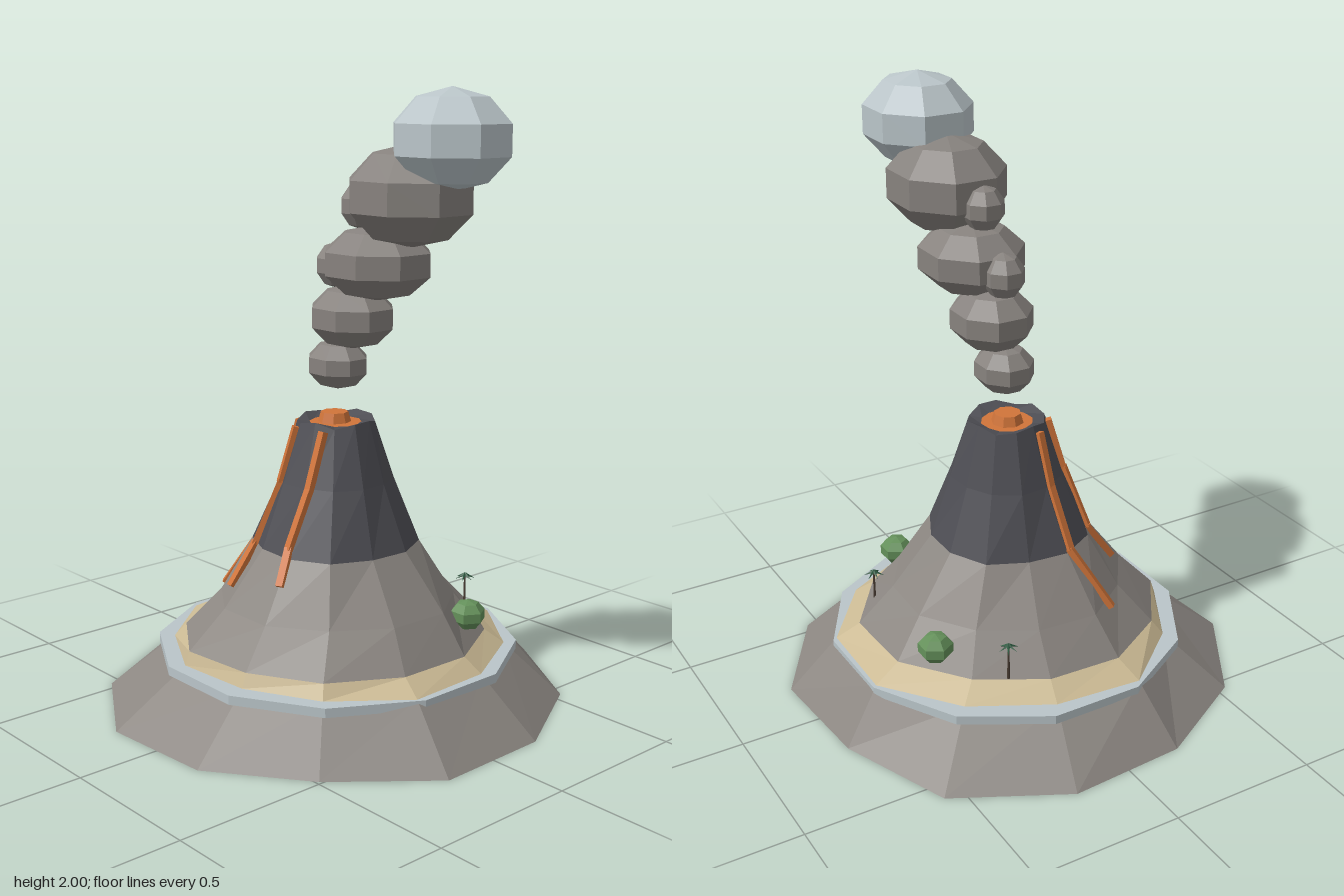
import * as THREE from 'three';

const paint = (name, color) => {
  const m = new THREE.MeshStandardMaterial({ color });
  m.name = name;
  return m;
};

export function createModel() {
  const model = new THREE.Group();
  model.name = 'volcanoIsland';
  const rock = paint('rock grey', 0x8c8782);
  const basalt = paint('dark basalt', 0x4e4e54);
  const sand = paint('sand', 0xcbba94);
  const foam = paint('pale foam', 0xbac5c9);
  const lava = paint('lava orange', 0xd0743a);
  const smoke = paint('smoke grey', 0x87827e);
  const steam = paint('pale smoke', 0xbac5c9);
  const leaf = paint('bush green', 0x64905a);
  const palm = paint('palm green', 0x2f5c42);
  const bark = paint('palm bark', 0x4a3d33);

  // Faceted normals, then a named mesh
  const add = (name, geometry, material, parent = model) => {
    const g = geometry.index ? geometry.toNonIndexed() : geometry;
    g.computeVertexNormals();
    const mesh = new THREE.Mesh(g, material);
    mesh.name = name;
    parent.add(mesh);
    return mesh;
  };

  // Mountain cross-sections: 12 points each, starting 15 degrees left of the front
  const N = 12;
  const wobble = [0.01, -0.012, 0.006, 0.008, -0.01, 0.004, 0.012, -0.008, 0.002, 0.01, -0.006, -0.004];
  const ring = (y, radii, cx = 0, cz = 0, shift = 0) => {
    const points = [];
    for (let i = 0; i < N; i++) {
      const a = (15 + 30 * i) * Math.PI / 180;
      const r = Array.isArray(radii) ? radii[i] : radii * (1 + 2.5 * wobble[(i + shift) % N]);
      points.push(new THREE.Vector3(cx + Math.sin(a) * r, y, cz + Math.cos(a) * r));
    }
    return points;
  };
  const rings = [
    ring(0, [0.737, 0.693, 0.762, 0.755, 0.764, 0.775, 0.742, 0.8, 0.78, 0.753, 0.757, 0.767]),
    ring(0.18, [0.51, 0.525, 0.57, 0.56, 0.57, 0.61, 0.615, 0.57, 0.56, 0.585, 0.535, 0.53]),
    ring(0.225, [0.49, 0.495, 0.495, 0.5, 0.505, 0.53, 0.52, 0.485, 0.485, 0.495, 0.495, 0.515]),
    ring(0.35, 0.397, 0.005, -0.01, 3),
    ring(0.53, 0.27, 0, -0.01, 5),
    ring(0.74, 0.187, 0, -0.015, 1),
    ring(0.94, 0.127, -0.005, -0.02, 7),
    ring(0.925, 0.085, -0.01, -0.02, 7),
  ];
  rings[6].forEach((p, i) => { p.y += wobble[i] * 0.8 - 0.005; });

  const skin = (from, to) => {
    const out = [];
    for (let k = from; k < to; k++) {
      for (let i = 0; i < N; i++) {
        const j = (i + 1) % N;
        const [a, b, c, d] = [rings[k][i], rings[k][j], rings[k + 1][j], rings[k + 1][i]];
        out.push(a, b, c, a, c, d);
      }
    }
    return new THREE.BufferGeometry().setFromPoints(out);
  };
  const cap = (points, up) => {
    const out = [];
    const y = points[0].y;
    points.forEach((p, i) => {
      const q = points[(i + 1) % N];
      out.push(new THREE.Vector3(0, y, 0), up ? p : q, up ? q : p);
    });
    return new THREE.BufferGeometry().setFromPoints(out);
  };
  add('lowerSlope', skin(0, 1), rock);
  add('underside', cap(rings[0], false), rock);
  add('beach', skin(1, 2), sand);
  add('middleSlope', skin(2, 4), rock);
  add('summit', skin(4, 7), basalt);
  add('lavaPool', cap(rings[7], true), lava);

  // Foam shelf around the beach
  const shelf = add('foamRing', new THREE.CylinderGeometry(0.602, 0.602, 0.03, N), foam);
  shelf.geometry.rotateY(Math.PI / 12);
  shelf.position.set(-0.01, 0.165, -0.025);

  // Lava plug in the crater
  const plug = add('lavaPlug', new THREE.CylinderGeometry(0.045, 0.055, 0.035, 8), lava);
  plug.position.set(-0.015, 0.94, -0.02);

  // Lava streams follow the slope, given as [degrees from front, height]
  const onSlope = ([deg, y]) => {
    const t = (((deg - 15) / 30) % N + N) % N;
    const i = Math.floor(t), j = (i + 1) % N;
    const k = rings.findIndex((r, n) => n < 6 && y < rings[n + 1][0].y);
    const f = (y - rings[k][0].y) / (rings[k + 1][0].y - rings[k][0].y);
    const at = (r) => r[i].clone().lerp(r[j], t - i);
    const p = at(rings[k]).lerp(at(rings[k + 1]), f);
    p.y = y;
    return p.add(new THREE.Vector3(p.x, 0, p.z).setLength(0.005));
  };
  const streams = [
    [[-67, 0.915], [-70, 0.74], [-72, 0.54], [-61, 0.335]],
    [[-22, 0.915], [-25, 0.74], [-31, 0.53], [-26, 0.4]],
    [[29, 0.915], [20, 0.74], [14, 0.56], [16, 0.46]],
  ];
  streams.forEach((path, s) => {
    const group = new THREE.Group();
    group.name = 'lavaStream' + (s + 1);
    model.add(group);
    const pts = path.map(onSlope);
    for (let i = 0; i + 1 < pts.length; i++) {
      const length = pts[i].distanceTo(pts[i + 1]) + 0.008;
      const seg = add('streamSegment', new THREE.BoxGeometry(0.024, 0.022, length), lava, group);
      seg.position.copy(pts[i]).lerp(pts[i + 1], 0.5);
      seg.lookAt(pts[i + 1]);
    }
  });

  // Smoke plume: x, y, z, then half sizes
  const puffs = [
    [-0.008, 1.115, -0.028, 0.098, 0.082, 0.088],
    [0.042, 1.275, -0.045, 0.135, 0.105, 0.122],
    [0.14, 1.455, -0.062, 0.17, 0.12, 0.157],
    [0.265, 1.67, -0.08, 0.197, 0.16, 0.175],
    [0.42, 1.845, -0.098, 0.18, 0.155, 0.163],
    [-0.025, 1.435, -0.04, 0.068, 0.075, 0.062],
    [0.075, 1.63, -0.055, 0.068, 0.075, 0.062],
  ];
  puffs.forEach(([x, y, z, rx, ry, rz], i) => {
    const g = new THREE.SphereGeometry(1, 8, 5).rotateY(Math.PI / 8);
    g.scale(rx / 0.879, ry, rz / 0.879);
    add('smokePuff' + (i + 1), g, i === 4 ? steam : smoke).position.set(x, y, z);
  });

  // Bushes
  [[-0.235, 0.31, -0.415], [0.385, 0.312, -0.245]].forEach(([x, y, z]) => {
    const g = new THREE.SphereGeometry(0.06, 6, 5).scale(1, 0.83, 1);
    add('bush', g, leaf).position.set(x, y, z);
  });

  // Palms with drooping fronds
  [[0.205, -0.42], [-0.415, -0.25]].forEach(([x, z], n) => {
    const tree = new THREE.Group();
    tree.name = 'palm';
    tree.position.set(x, 0.24, z);
    tree.rotation.y = n * 0.5;
    model.add(tree);
    add('trunk', new THREE.CylinderGeometry(0.003, 0.005, 0.125, 5), bark, tree).position.y = 0.0625;
    for (let i = 0; i < 6; i++) {
      const g = new THREE.ConeGeometry(0.006, 0.038, 4);
      g.translate(0, 0.019, 0).rotateZ(-2.0).rotateY(i * Math.PI / 3);
      add('frond', g, palm, tree).position.y = 0.125;
    }
  });

  return model;
}
